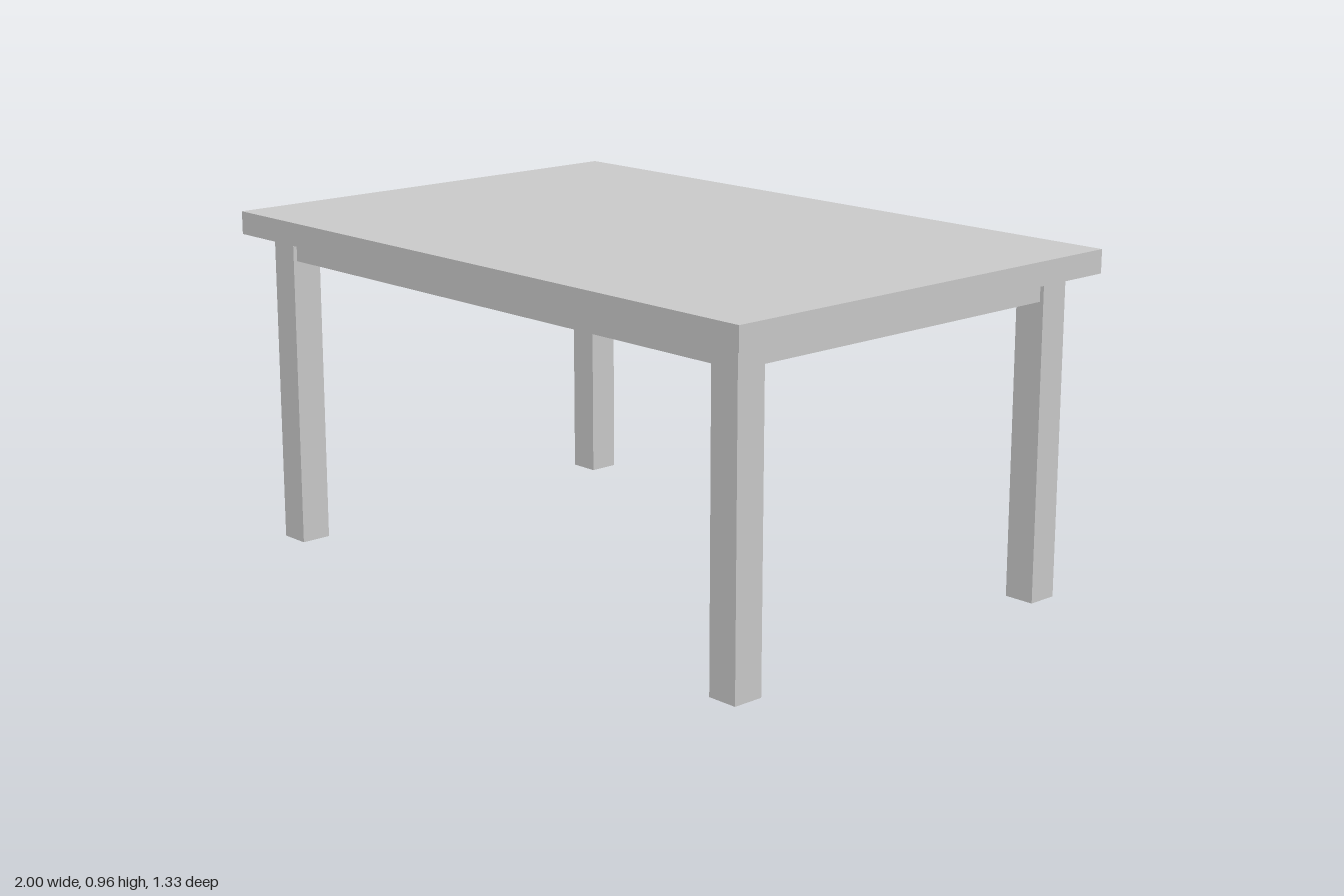
import * as THREE from 'three';

const material = new THREE.MeshStandardMaterial({ color: 0xcccccc, flatShading: true });

export function createModel() {
  const table = new THREE.Group();
  table.name = 'table';

  const box = (name, w, h, d, x, y, z, turn = 0) => {
    const mesh = new THREE.Mesh(new THREE.BoxGeometry(w, h, d), material);
    mesh.name = name;
    mesh.position.set(x, y, z);
    mesh.rotation.y = turn;
    table.add(mesh);
  };

  const legHeight = 0.893, leg = 0.089; // square legs
  const legX = 0.889, legZ = 0.559; // leg centres
  const rail = 0.066; // square stock for aprons and braces
  const railY = legHeight - rail / 2;
  const innerX = legX - leg / 2, innerZ = legZ - leg / 2;

  // Top slab
  box('tabletop', 2, 0.065, 1.333, 0, legHeight + 0.0325, 0);

  // Legs
  for (const sx of [-1, 1]) {
    for (const sz of [-1, 1]) {
      const name = (sz > 0 ? 'front' : 'back') + (sx > 0 ? 'Left' : 'Right') + 'Leg';
      box(name, leg, legHeight, leg, sx * legX, legHeight / 2, sz * legZ);
    }
  }

  // Aprons between the legs, and crossed diagonal braces under the top
  const diagonal = 2 * Math.hypot(innerX, innerZ);
  const angle = Math.atan2(innerZ, innerX);
  for (const s of [-1, 1]) {
    box(s > 0 ? 'frontApron' : 'backApron', 2 * innerX, rail, rail, 0, railY, s * legZ);
    box(s > 0 ? 'leftApron' : 'rightApron', rail, rail, 2 * innerZ, s * legX, railY, 0);
    box('diagonalBrace', diagonal, rail, rail, 0, railY, 0, s * angle);
  }

  return table;
}
